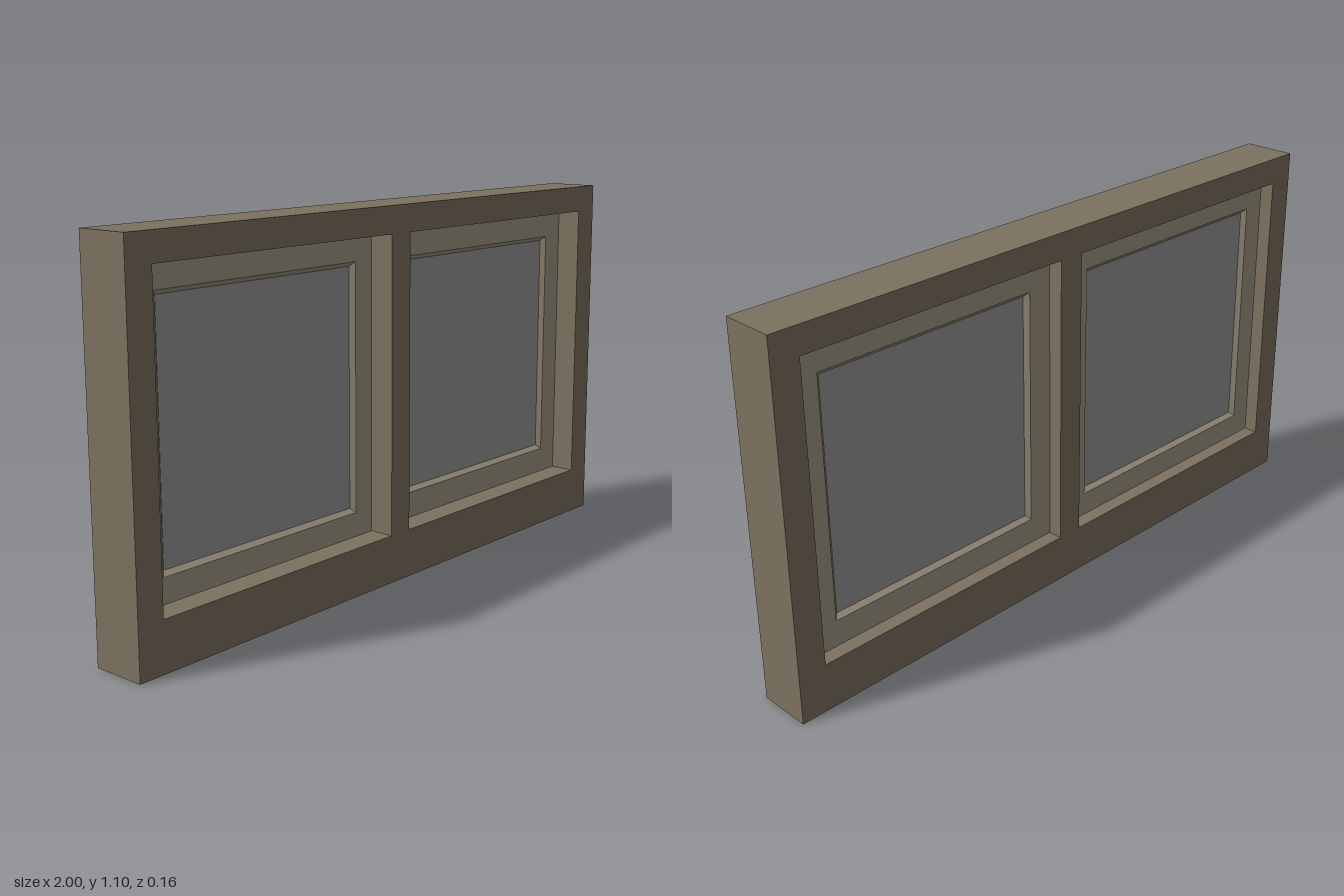
import * as THREE from 'three';

const frameMat = new THREE.MeshStandardMaterial({ color: 0x7d7260 });
const sashMat = new THREE.MeshStandardMaterial({ color: 0xa39984 });
const glassMat = new THREE.MeshStandardMaterial({ color: 0x999999 });

// Rectangles are [x0, y0, x1, y1]
function corners([x0, y0, x1, y1]) {
  return [[x0, y0], [x1, y0], [x1, y1], [x0, y1]];
}

function grow([x0, y0, x1, y1], d) {
  return [x0 - d, y0 - d, x1 + d, y1 + d];
}

function addMesh(parent, name, geometry, material) {
  const mesh = new THREE.Mesh(geometry, material);
  mesh.name = name;
  parent.add(mesh);
}

// Flat rectangular panel with rectangular holes
function panel(outer, holes, z0, z1) {
  const points = (r) => corners(r).map(([x, y]) => new THREE.Vector2(x, y));
  const shape = new THREE.Shape(points(outer));
  for (const h of holes) shape.holes.push(new THREE.Path(points(h).reverse()));
  const geo = new THREE.ExtrudeGeometry(shape, { depth: z1 - z0, bevelEnabled: false });
  return geo.translate(0, 0, z0);
}

// Closed ring lofted through [rectangle, z] cross-sections
function rectRing(sections) {
  const pos = [];
  const n = sections.length;
  for (let i = 0; i < n; i++) {
    const [ra, za] = sections[i];
    const [rb, zb] = sections[(i + 1) % n];
    const A = corners(ra), B = corners(rb);
    for (let k = 0; k < 4; k++) {
      const j = (k + 1) % 4;
      const a = [...A[k], za], b = [...A[j], za], c = [...B[j], zb], d = [...B[k], zb];
      pos.push(...a, ...b, ...c, ...a, ...c, ...d);
    }
  }
  const geo = new THREE.BufferGeometry();
  geo.setAttribute('position', new THREE.Float32BufferAttribute(pos, 3));
  geo.computeVertexNormals();
  return geo;
}

export function createModel() {
  const group = new THREE.Group();
  group.name = 'doubleWindow';

  const halfDepth = 0.08, sashFront = 0.004, sashBack = -0.036;
  const bevelWidth = 0.013, bevelDepth = 0.013;
  const windows = [
    { name: 'right', hole: [-0.918, 0.144, -0.042, 1.02], glass: [-0.836, 0.229, -0.124, 0.931] },
    { name: 'left', hole: [0.039, 0.144, 0.915, 1.02], glass: [0.130, 0.235, 0.826, 0.926] },
  ];

  // Outer frame with central mullion
  const holes = windows.map((w) => w.hole);
  addMesh(group, 'outerFrame', panel([-1, 0, 1, 1.1], holes, -halfDepth, halfDepth), frameMat);

  for (const { name, hole, glass } of windows) {
    // Sash with bevelled inner edges on both faces
    const opening = grow(glass, bevelWidth);
    const glassBack = sashBack + bevelDepth, glassFront = sashFront - bevelDepth;
    addMesh(group, name + 'Sash', rectRing([
      [hole, sashBack], [hole, sashFront], [opening, sashFront],
      [glass, glassFront], [glass, glassBack], [opening, sashBack],
    ]), sashMat);

    // Glass pane
    addMesh(group, name + 'Glass', panel(glass, [], glassBack, glassFront), glassMat);
  }
  return group;
}
